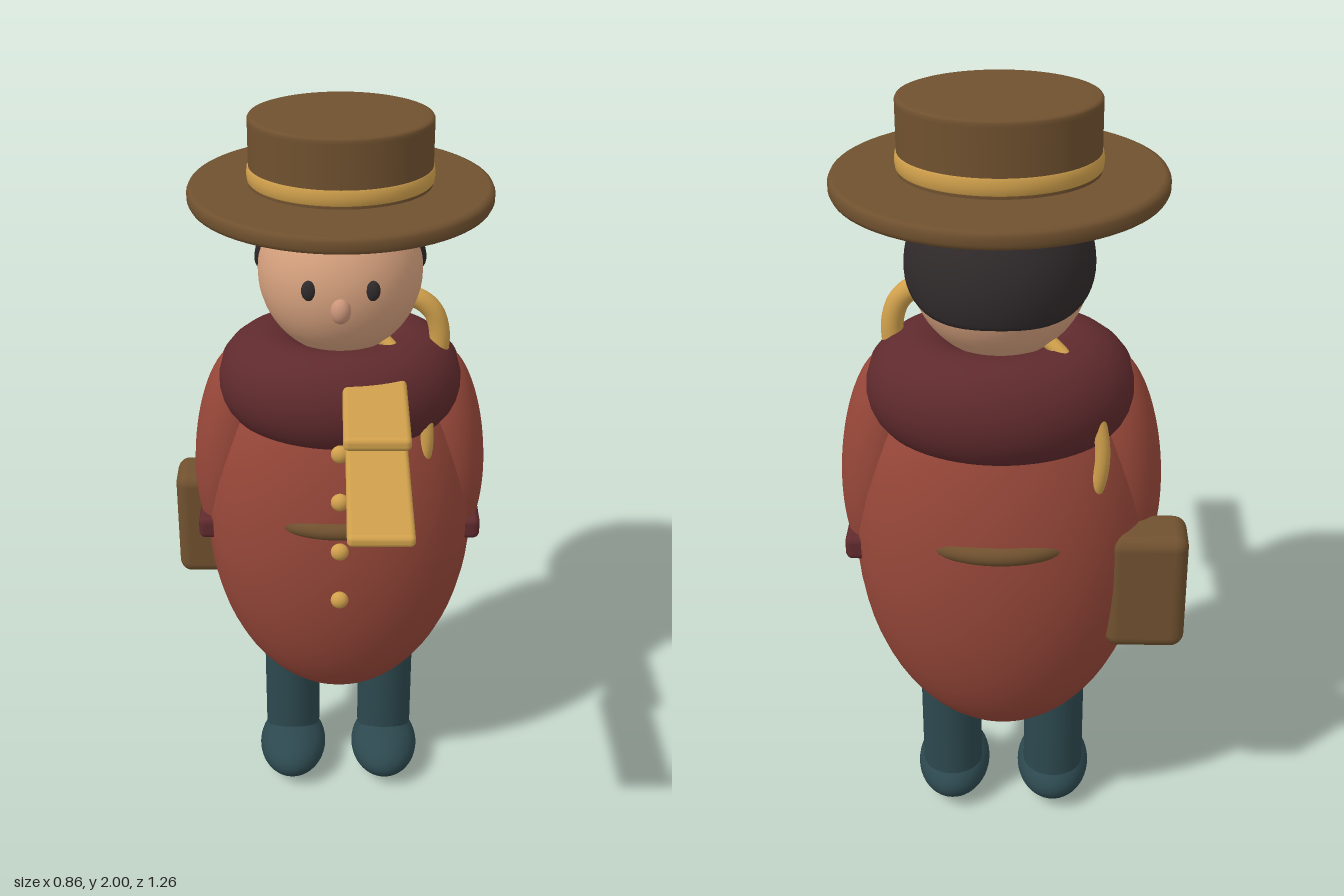
import * as THREE from 'three';
import { RoundedBoxGeometry } from 'three/addons/geometries/RoundedBoxGeometry.js';

const material = (name, color, side = THREE.FrontSide) => {
  const m = new THREE.MeshStandardMaterial({ color, side });
  m.name = name;
  return m;
};

export function createModel() {
  const coat = material('coat red', 0x974739);
  const wine = material('wine red', 0x5f2a2d);
  const teal = material('dark teal', 0x2c484e);
  const brown = material('leather brown', 0x70512f);
  const gold = material('gold', 0xd0a04c);
  const skin = material('skin', 0xd6a17e);
  const noseSkin = material('nose skin', 0xcb957a);
  const dark = material('hair dark', 0x302a2b, THREE.DoubleSide);

  // Everything is placed relative to the body's vertical axis
  const model = new THREE.Group();
  model.name = 'figure';
  const figure = new THREE.Group();
  figure.name = 'figureParts';
  figure.position.set(0.033, 0, -0.24);
  model.add(figure);

  const add = (name, geometry, mat, x, y, z) => {
    const mesh = new THREE.Mesh(geometry, mat);
    mesh.name = name;
    mesh.position.set(x, y, z);
    figure.add(mesh);
    return mesh;
  };
  const ball = (name, mat, x, y, z, rx, ry, rz) =>
    add(name, new THREE.SphereGeometry(1, 48, 32).scale(rx, ry, rz), mat, x, y, z);
  const box = (name, mat, x, y, z, w, h, d, r) =>
    add(name, new RoundedBoxGeometry(w, h, d, 4, r), mat, x, y, z);
  const ring = (name, mat, y, R, r, sz = 1) =>
    add(name, new THREE.TorusGeometry(R, r, 24, 72).rotateX(Math.PI / 2).scale(1, 1, sz), mat, 0, y, 0);
  const lathe = (name, mat, points, sz = 1) =>
    add(name, new THREE.LatheGeometry(points.map(p => new THREE.Vector2(...p)), 72).scale(1, 1, sz), mat, 0, 0, 0);

  // Coat, belt and scarf
  ball('coatBody', coat, 0, 0.86, 0, 0.368, 0.57, 0.272);
  ring('belt', brown, 0.962, 0.26, 0.025);
  ring('scarf', wine, 1.293, 0.19, 0.137, 0.81);
  for (const y of [1.204, 1.061, 0.908, 0.754]) ball('button', gold, 0, y, 0.278, 0.024, 0.024, 0.02);

  // Limbs, mirrored
  for (const s of [-1, 1]) {
    const side = s > 0 ? 'left' : 'right';
    const arm = ball(side + 'Arm', coat, s * 0.295, 1.08, 0, 0.1, 0.3, 0.105);
    arm.rotation.z = s * 0.087;
    box(side + 'Cuff', wine, s * 0.315, 0.857, 0, 0.152, 0.066, 0.166, 0.018);
    add(side + 'Leg', new THREE.CylinderGeometry(0.08, 0.08, 0.42, 40), teal, s * 0.138, 0.34, 0);
    ball(side + 'Foot', teal, s * 0.138, 0.08, 0.05, 0.098, 0.076, 0.146);
    ball(side + 'Eye', dark, s * 0.078, 1.617, 0.193, 0.02, 0.027, 0.013);
  }

  // Head and nose
  ball('head', skin, 0, 1.6, 0, 0.213, 0.222, 0.213);
  ball('nose', noseSkin, 0, 1.57, 0.208, 0.026, 0.034, 0.026);

  // Hair: a cap around a backward-tilted pole, wider over the temples
  const cap = new THREE.SphereGeometry(1, 64, 24, 0, Math.PI * 2, 0, Math.PI / 2);
  const p = cap.attributes.position;
  const uv = cap.attributes.uv;
  const v = new THREE.Vector3();
  for (let i = 0; i < p.count; i++) {
    const phi = uv.getX(i) * Math.PI * 2;
    const t = 1 - uv.getY(i);
    const reach = THREE.MathUtils.degToRad(73.5 + 13.5 * Math.cos(2 * phi)) * t;
    const r = t > 0.99 ? 0.98 : 1.05;
    v.set(-Math.cos(phi) * Math.sin(reach), Math.cos(reach), Math.sin(phi) * Math.sin(reach)).multiplyScalar(r);
    p.setXYZ(i, v.x, v.y, v.z);
  }
  cap.rotateX(-Math.atan2(0.78, 0.63)).scale(0.213, 0.222, 0.213);
  cap.computeVertexNormals();
  add('hair', cap, dark, 0, 1.6, 0);

  // Hat
  lathe('hatBrim', brown, [[0, 1.782], [0.37, 1.782], [0.381, 1.786], [0.386, 1.796], [0.386, 1.814],
    [0.381, 1.824], [0.37, 1.828], [0, 1.828]]);
  lathe('hatCrown', brown, [[0.231, 1.81], [0.231, 1.985], [0.231, 1.993], [0.228, 1.998], [0.222, 2],
    [0.2, 2], [0, 2]], 0.865);
  lathe('hatBand', gold, [[0.228, 1.832], [0.234, 1.838], [0.236, 1.855], [0.234, 1.872], [0.228, 1.878]], 0.865);

  // Two flat plates reaching forward
  box('upperPlate', gold, 0.087, 1.359, 0.348, 0.164, 0.036, 0.34, 0.014);
  box('lowerPlate', gold, 0.087, 1.31, 0.65, 0.152, 0.03, 0.44, 0.012);

  // Curved pipe beside the cheek
  const bend = new THREE.CatmullRomCurve3([[0.15, 1.535], [0.2, 1.528], [0.24, 1.495], [0.259, 1.44],
    [0.258, 1.38], [0.245, 1.33]].map(([x, y]) => new THREE.Vector3(x, y, 0)));
  add('cheekPipe', new THREE.TubeGeometry(bend, 40, 0.027, 20), gold, 0, 0, 0.03);

  // Diagonal shoulder strap and satchel
  const strap = add('shoulderStrap', new THREE.TorusGeometry(0.287, 0.018, 16, 72), gold, -0.008, 1.185, -0.008);
  strap.rotation.y = -0.6;
  box('satchel', brown, -0.363, 0.793, -0.106, 0.2, 0.325, 0.145, 0.035);

  return model;
}
